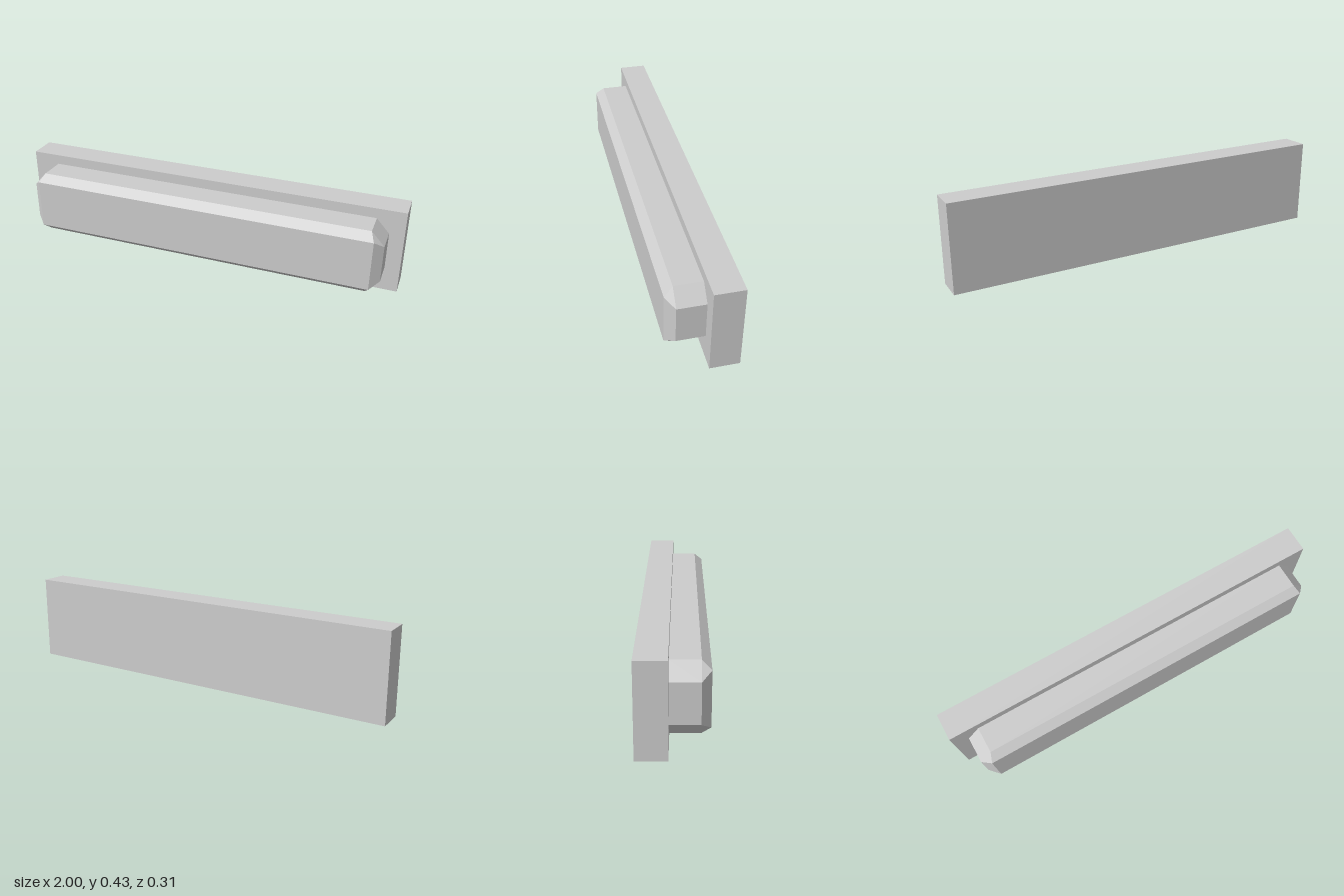
import * as THREE from 'three';
import { ConvexGeometry } from 'three/addons/geometries/ConvexGeometry.js';

export function createModel() {
  const model = new THREE.Group();
  model.name = 'wallBar';
  const grey = new THREE.MeshStandardMaterial({ color: 0xcccccc });
  grey.name = 'light grey';
  grey.flatShading = true;

  const backZ = -0.157, plateZ = -0.018, bevelZ = 0.115, frontZ = 0.157;
  const height = 0.434, barCentreY = 0.2185;

  // Flat rectangular plate at the back
  const plate = new THREE.Mesh(new THREE.BoxGeometry(2, height, plateZ - backZ), grey);
  plate.name = 'backPlate';
  plate.position.set(0, height / 2, (backZ + plateZ) / 2);
  model.add(plate);

  // Raised bar: octagonal outline, bevelled to a rectangular front face
  const points = [];
  for (const sx of [-1, 1]) {
    for (const sy of [-1, 1]) {
      const add = (x, y, z) => points.push(new THREE.Vector3(sx * x, sy * y, z));
      for (const z of [plateZ, bevelZ]) {
        add(0.862, 0.1645, z);
        add(0.927, 0.094, z);
      }
      add(0.882, 0.127, frontZ);
    }
  }
  const bar = new THREE.Mesh(new ConvexGeometry(points), grey);
  bar.name = 'raisedBar';
  bar.position.y = barCentreY;
  model.add(bar);

  return model;
}
